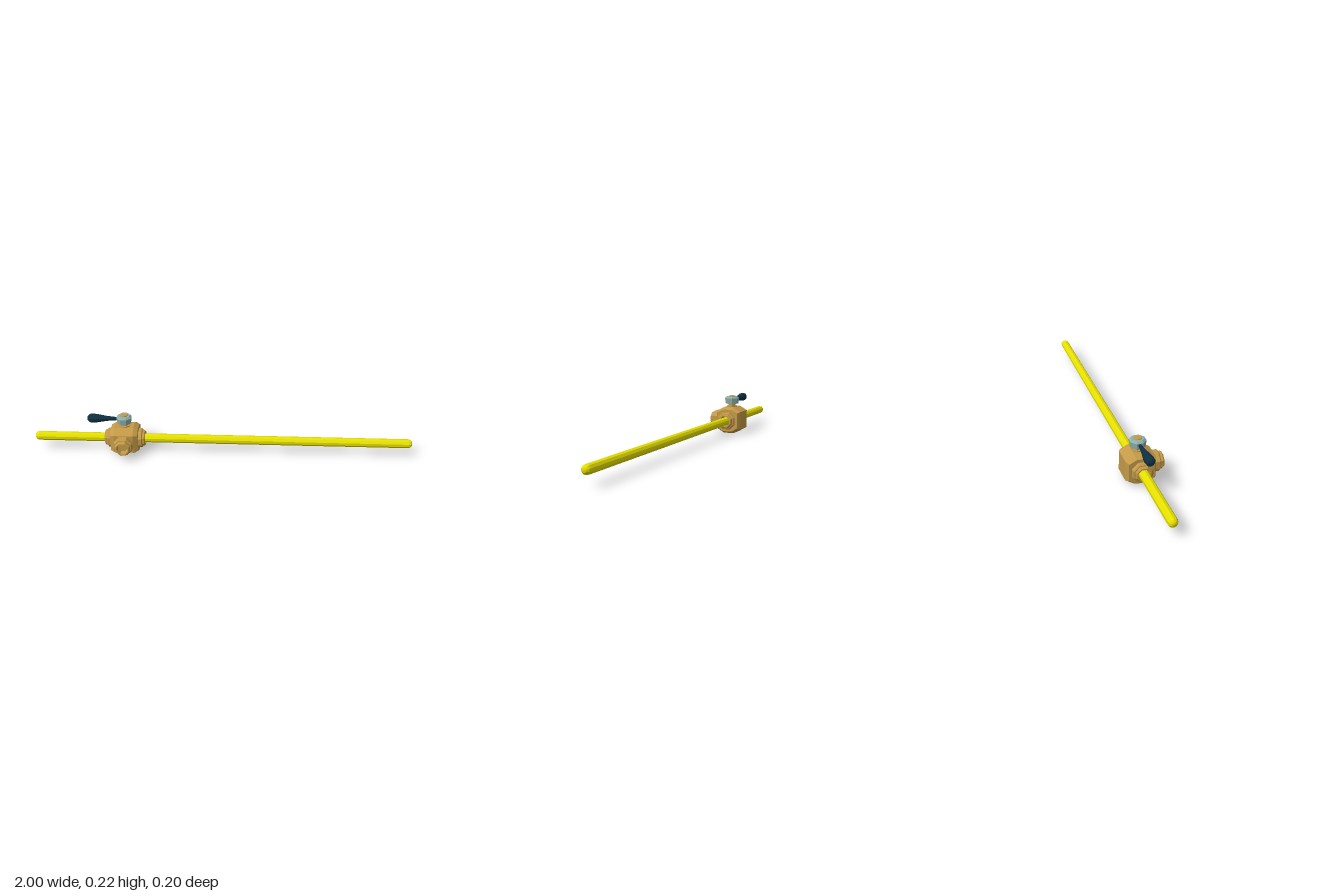
import * as THREE from 'three';

const mat = (color) => new THREE.MeshStandardMaterial({ color, flatShading: true });

// Turned part; profile is [radius across flats, height] from bottom to top
function turned(name, profile, material, sides = 8) {
  const k = 1 / Math.cos(Math.PI / sides);
  const pts = profile.map(([r, h]) => new THREE.Vector2(r * k, h));
  const mesh = new THREE.Mesh(new THREE.LatheGeometry(pts, sides, Math.PI / sides), material);
  mesh.name = name;
  return mesh;
}

export function createModel() {
  const brass = mat(0xc49a48), yellow = mat(0xe6e000), steel = mat(0x8fb0aa), grip = mat(0x0f3040);
  const root = new THREE.Group();
  root.name = 'pipeWithValve';
  const cy = 0.075, cz = -0.023;

  // Long pipe with rounded ends
  const r = 0.0225;
  const pipe = turned('pipe', [
    [0, -1], [r * 0.5, -0.997], [r * 0.87, -0.989], [r, -0.978],
    [r, 0.978], [r * 0.87, 0.989], [r * 0.5, 0.997], [0, 1],
  ], yellow, 10);
  pipe.rotation.z = -Math.PI / 2;
  pipe.position.set(0, cy, cz);
  root.add(pipe);

  const valve = new THREE.Group();
  valve.name = 'valve';
  valve.position.set(-0.515, cy, cz);
  root.add(valve);

  // Eight-sided valve body with chamfered ends
  const shape = new THREE.Shape([
    [0.03, 0.076], [-0.03, 0.076], [-0.074, 0.052], [-0.074, -0.049],
    [-0.03, -0.075], [0.03, -0.075], [0.074, -0.049], [0.074, 0.052],
  ].map(([x, y]) => new THREE.Vector2(x, y)));
  const bodyGeo = new THREE.ExtrudeGeometry(shape, {
    depth: 0.1, bevelEnabled: true, bevelSegments: 1,
    bevelThickness: 0.022, bevelSize: 0.012, bevelOffset: -0.012,
  });
  bodyGeo.translate(0, 0, -0.05).rotateY(Math.PI / 2);
  const body = new THREE.Mesh(bodyGeo, brass);
  body.name = 'valveBody';
  valve.add(body);

  // Stepped port fittings: left, right and front
  const port = [
    [0.048, -0.004], [0.048, 0.018], [0.043, 0.022], [0.039, 0.022], [0.039, 0.031],
    [0.034, 0.036], [0.028, 0.036], [0.025, 0.016], [0, 0.016],
  ];
  for (const side of [1, -1]) {
    const p = turned(side > 0 ? 'leftPort' : 'rightPort', port, brass);
    p.rotation.z = -side * Math.PI / 2;
    p.position.x = side * 0.071;
    valve.add(p);
  }
  const front = turned('frontPort', port.map(([a, h]) => [a, h * 1.36]), brass);
  front.rotation.x = Math.PI / 2;
  front.position.z = 0.073;
  valve.add(front);

  // Stem on top of the body
  valve.add(turned('stem', [
    [0.027, 0.07], [0.027, 0.081], [0.018, 0.081], [0.018, 0.138], [0.016, 0.14], [0, 0.14],
  ], brass));

  // Handle hub and tapered grip
  valve.add(turned('handleHub', [
    [0, 0.094], [0.034, 0.094], [0.038, 0.126], [0.029, 0.135], [0, 0.135],
  ], steel));
  const handle = turned('handleGrip', [
    [0, -0.005], [0.008, -0.005], [0.009, 0.02], [0.013, 0.06], [0.021, 0.108],
    [0.023, 0.13], [0.021, 0.147], [0.013, 0.157], [0, 0.16],
  ], grip, 10);
  handle.rotation.z = Math.PI / 2;
  handle.position.set(-0.034, 0.115, 0);
  valve.add(handle);

  return root;
}
